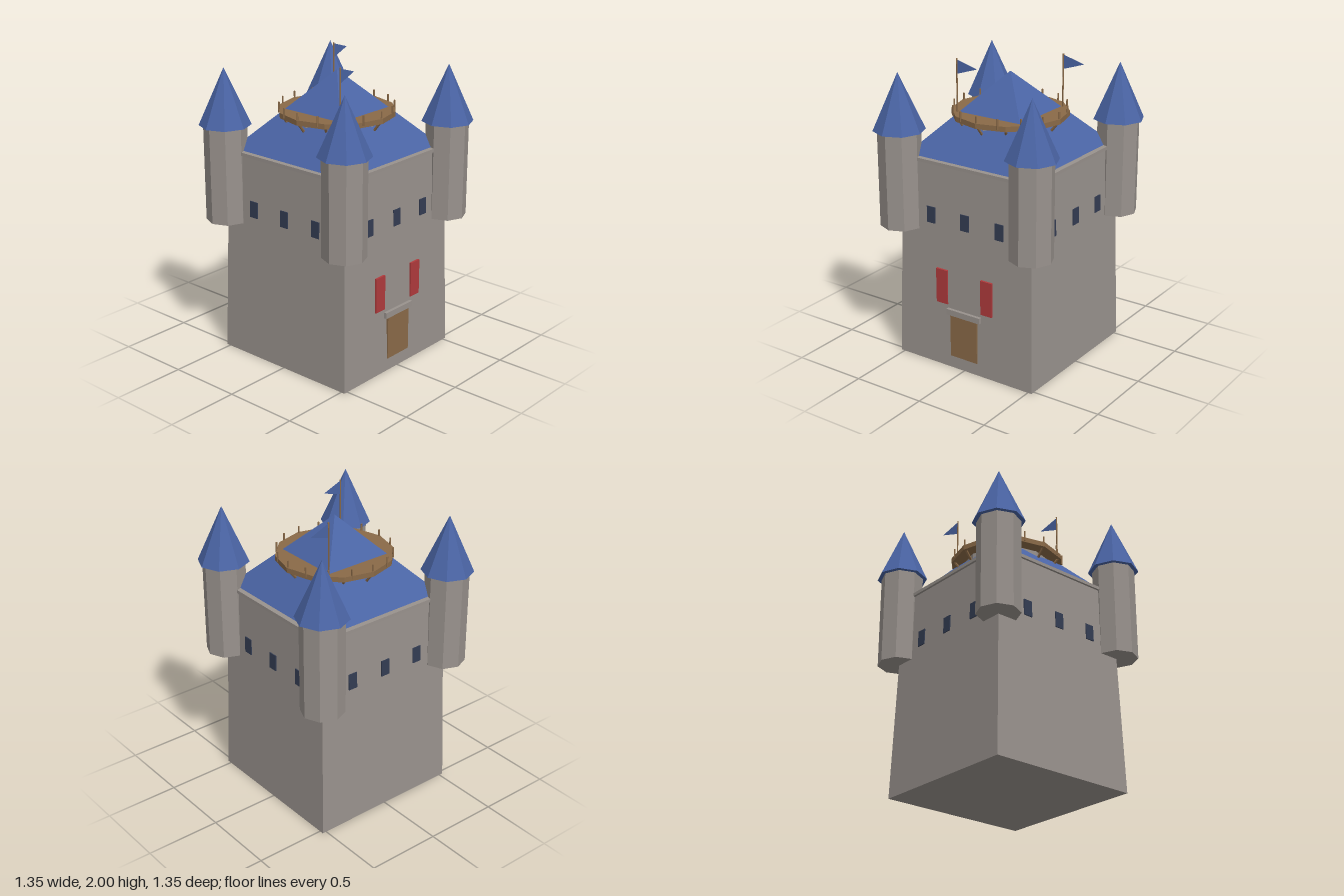
import * as THREE from 'three';

const mat = (name, color, extra = {}) => {
  const m = new THREE.MeshStandardMaterial({ color, flatShading: true, ...extra });
  m.name = name;
  return m;
};

export function createModel() {
  const stone = mat('stone', 0x99928d);
  const roofBlue = mat('roofBlue', 0x4a64a4);
  const flagBlue = mat('flagBlue', 0x4a64a4, { side: THREE.DoubleSide });
  const wood = mat('wood', 0x8a6a48);
  const bannerRed = mat('bannerRed', 0xb03a3c);
  const windowDark = mat('windowDark', 0x333c52);

  const model = new THREE.Group();
  model.name = 'castleKeep';

  const add = (name, geometry, material, x = 0, y = 0, z = 0, parent = model) => {
    const mesh = new THREE.Mesh(geometry, material);
    mesh.name = name;
    mesh.position.set(x, y, z);
    parent.add(mesh);
    return mesh;
  };
  const box = (name, material, w, h, d, x, y, z, parent) =>
    add(name, new THREE.BoxGeometry(w, h, d), material, x, y, z, parent);

  // Square block or pyramid given by half widths at its bottom and top
  const squareBlock = (name, material, bottom, top, y0, y1) => {
    const s = Math.SQRT2;
    const g = new THREE.CylinderGeometry(top * s, bottom * s, y1 - y0, 4);
    g.rotateY(Math.PI / 4);
    return add(name, g, material, 0, (y0 + y1) / 2, 0);
  };

  // Round bar between two points
  const bar = (name, a, b, r) => {
    const dir = b.clone().sub(a);
    const m = add(name, new THREE.CylinderGeometry(r, r, dir.length(), 6), wood);
    m.position.copy(a).add(b).multiplyScalar(0.5);
    m.quaternion.setFromUnitVectors(new THREE.Vector3(0, 1, 0), dir.normalize());
    return m;
  };
  const polar = (r, angle, y) => new THREE.Vector3(r * Math.sin(angle), y, r * Math.cos(angle));

  // Tapered keep, cornice and main roof
  const base = 0.528, top = 0.492, wallTop = 1.375;
  const wallAt = y => base + (top - base) * y / wallTop;
  squareBlock('keepWalls', stone, base, top, 0, wallTop);
  squareBlock('cornice', stone, 0.507, 0.507, wallTop, 1.397);
  squareBlock('mainRoof', roofBlue, 0.472, 0, 1.397, 1.905);

  // Three windows on each side, leaning with the wall
  for (let side = 0; side < 4; side++) {
    const windows = new THREE.Group();
    windows.name = 'windowRow';
    windows.rotation.y = side * Math.PI / 2;
    model.add(windows);
    for (const x of [-0.265, 0, 0.265]) {
      const w = box('window', windowDark, 0.064, 0.108, 0.009, x, 1.032, wallAt(1.032) + 0.002, windows);
      w.rotation.x = -Math.atan((base - top) / wallTop);
    }
  }

  // Door, lintel and hanging banners on the front
  box('door', wood, 0.21, 0.3, 0.03, 0, 0.235, 0.517);
  box('lintel', stone, 0.262, 0.04, 0.04, 0, 0.399, 0.519);
  for (const s of [-1, 1]) box('banner', bannerRed, 0.087, 0.236, 0.018, s * 0.175, 0.562, 0.516);

  // Corner turrets with pointed roofs
  for (const sx of [-1, 1]) for (const sz of [-1, 1]) {
    const turret = new THREE.Group();
    turret.name = 'cornerTurret';
    turret.position.set(sx * 0.505, 0, sz * 0.505);
    model.add(turret);
    add('turretWall', new THREE.CylinderGeometry(0.141, 0.141, 0.645, 8), stone, 0, 1.2375, 0, turret);
    add('turretRoof', new THREE.ConeGeometry(0.169, 0.375, 8), roofBlue, 0, 1.7425, 0, turret);
  }

  // Lookout platform on a stone drum, with braces and railing posts
  add('platformDrum', new THREE.CylinderGeometry(0.298, 0.298, 0.07, 12), stone, 0, 1.59, 0);
  add('platform', new THREE.CylinderGeometry(0.38, 0.38, 0.034, 12), wood, 0, 1.636, 0);
  for (let i = 0; i < 12; i++) {
    const a = i * Math.PI / 6;
    bar('brace', polar(0.36, a, 1.625), polar(0.3, a, 1.55), 0.009);
  }
  for (let i = 0; i < 16; i++) {
    const a = i * Math.PI / 8;
    bar('railPost', polar(0.37, a, 1.63), polar(0.37, a, 1.698), 0.006);
  }

  // Two flagpoles with pennants
  for (const s of [-1, 1]) {
    const x = s * 0.242, z = -s * 0.24;
    bar('flagpole', new THREE.Vector3(x, 1.63, z), new THREE.Vector3(x, 2, z), 0.005);
    const shape = new THREE.Shape([
      new THREE.Vector2(0, -0.047), new THREE.Vector2(0.147, 0), new THREE.Vector2(0, 0.047)]);
    const flag = add('pennant', new THREE.ShapeGeometry(shape), flagBlue, x, 1.947, z);
    flag.rotation.y = 0.1;
  }

  return model;
}
